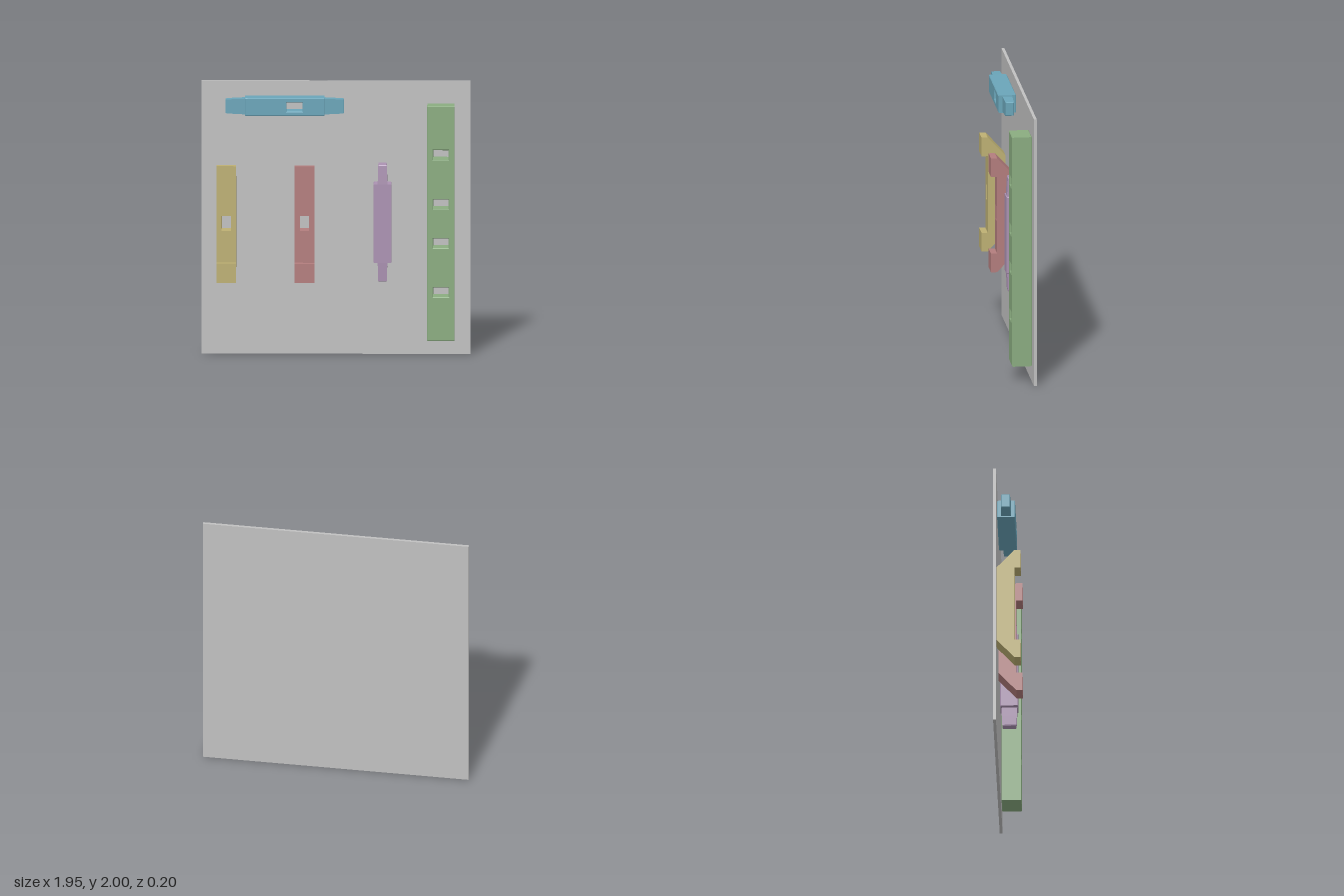
import * as THREE from 'three';

const mat = (name, color) => {
  const m = new THREE.MeshStandardMaterial({ color });
  m.name = name;
  return m;
};

const BACK = -0.077; // plane where the timbers meet the board
const BEVEL = 0.005;

function addMesh(parent, name, geometry, material) {
  const mesh = new THREE.Mesh(geometry, material);
  mesh.name = name;
  parent.add(mesh);
  return mesh;
}

function rectPath(PathClass, cx, cy, w, h) {
  const p = new PathClass();
  p.moveTo(cx - w / 2, cy - h / 2);
  p.lineTo(cx + w / 2, cy - h / 2);
  p.lineTo(cx + w / 2, cy + h / 2);
  p.lineTo(cx - w / 2, cy + h / 2);
  p.closePath();
  return p;
}

// Rectangular timber centred on the origin, mortised through z; holes are [cx, cy, w, h]
function mortisedBlock(w, h, d, holes, bevel = BEVEL) {
  const shape = rectPath(THREE.Shape, 0, 0, w, h);
  for (const hole of holes) shape.holes.push(rectPath(THREE.Path, ...hole));
  const geo = new THREE.ExtrudeGeometry(shape, {
    depth: d - 2 * bevel, bevelEnabled: bevel > 0, bevelSize: bevel,
    bevelThickness: bevel, bevelOffset: -bevel, bevelSegments: 1,
  });
  return geo.translate(0, 0, -d / 2 + bevel);
}

// Tapered tenon running along +x from x = 0, with a chamfered tip
function tenonGeometry(length, h, d) {
  const geo = new THREE.BoxGeometry(3, 1, 1, 3, 1, 1).toNonIndexed();
  const along = [0, 0.45, 0.95, 1];
  const scale = [1, 0.95, 0.89, 0.8];
  const p = geo.attributes.position;
  for (let i = 0; i < p.count; i++) {
    const k = Math.round(p.getX(i) + 1.5);
    p.setXYZ(i, along[k] * length, p.getY(i) * h * scale[k], p.getZ(i) * d * scale[k]);
  }
  geo.computeVertexNormals();
  return geo;
}

// Rung: square body with an off-centre mortise and a tenon at each end
function makeRung(name, material) {
  const rung = new THREE.Group();
  rung.name = name;
  const half = 0.287;
  addMesh(rung, 'rungBody', mortisedBlock(half * 2, 0.13, 0.13, [[0.07, 0, 0.115, 0.065]]), material);
  for (const side of [1, -1]) {
    const tenon = addMesh(rung, side > 0 ? 'tenonA' : 'tenonB', tenonGeometry(0.141, 0.115, 0.07), material);
    tenon.position.x = side * half;
    if (side < 0) tenon.rotation.y = Math.PI;
  }
  return rung;
}

// Bracket: mortised middle with forward-stepped ends and sloping back corners
function makeBracket(name, material) {
  const bracket = new THREE.Group();
  bracket.name = name;
  const width = 0.143, half = 0.287, tip = 0.427, step = 0.053, front = 0.098;
  const middle = addMesh(bracket, 'bracketBody',
    mortisedBlock(width, half * 2, step - BACK, [[0, 0, 0.067, 0.11]], 0), material);
  middle.position.z = (step + BACK) / 2;

  const profile = new THREE.Shape([
    [-BACK, half], [-front, half], [-front, tip], [-step, tip],
  ].map(([a, b]) => new THREE.Vector2(a, b)));
  const endGeo = new THREE.ExtrudeGeometry(profile, { depth: width, bevelEnabled: false });
  endGeo.translate(0, 0, -width / 2).rotateY(Math.PI / 2); // profile x becomes -z
  for (const side of [1, -1]) {
    const end = addMesh(bracket, side > 0 ? 'upperEnd' : 'lowerEnd', endGeo, material);
    if (side < 0) end.rotation.z = Math.PI;
  }
  return bracket;
}

export function createModel() {
  const model = new THREE.Group();
  model.name = 'timberJointDisplay';

  // Backing board
  const board = addMesh(model, 'backingBoard', new THREE.BoxGeometry(1.945, 2, 0.021), mat('boardGrey', 0xc0c0c0));
  board.position.set(0, 1, -0.0875);

  // Tall post with four mortises
  const postY = 0.977;
  const holes = [1.48, 1.12, 0.832, 0.475].map((y) => [0, y - postY, 0.112, 0.07]);
  const post = addMesh(model, 'post', mortisedBlock(0.198, 1.718, 0.144, holes), mat('postGreen', 0x8aac80));
  post.position.set(0.759, postY, BACK + 0.072);

  // Horizontal rung
  const blueRung = makeRung('horizontalRung', mat('rungBlue', 0x6aa5b9));
  blueRung.position.set(-0.369, 1.827, BACK + 0.065);
  model.add(blueRung);

  // Upright rung, turned so its mortise runs sideways
  const purpleRung = makeRung('uprightRung', mat('rungPurple', 0xab92b2));
  purpleRung.quaternion.setFromRotationMatrix(new THREE.Matrix4().makeBasis(
    new THREE.Vector3(0, -1, 0), new THREE.Vector3(0, 0, 1), new THREE.Vector3(-1, 0, 0)));
  purpleRung.position.set(0.337, 0.975, BACK + 0.065);
  model.add(purpleRung);

  // Pair of brackets
  for (const [name, x, material] of [
    ['yellowBracket', -0.792, mat('bracketYellow', 0xbdb073)],
    ['redBracket', -0.226, mat('bracketRed', 0xb37d7d)],
  ]) {
    const bracket = makeBracket(name, material);
    bracket.position.set(x, 0.975, 0);
    model.add(bracket);
  }
  return model;
}
